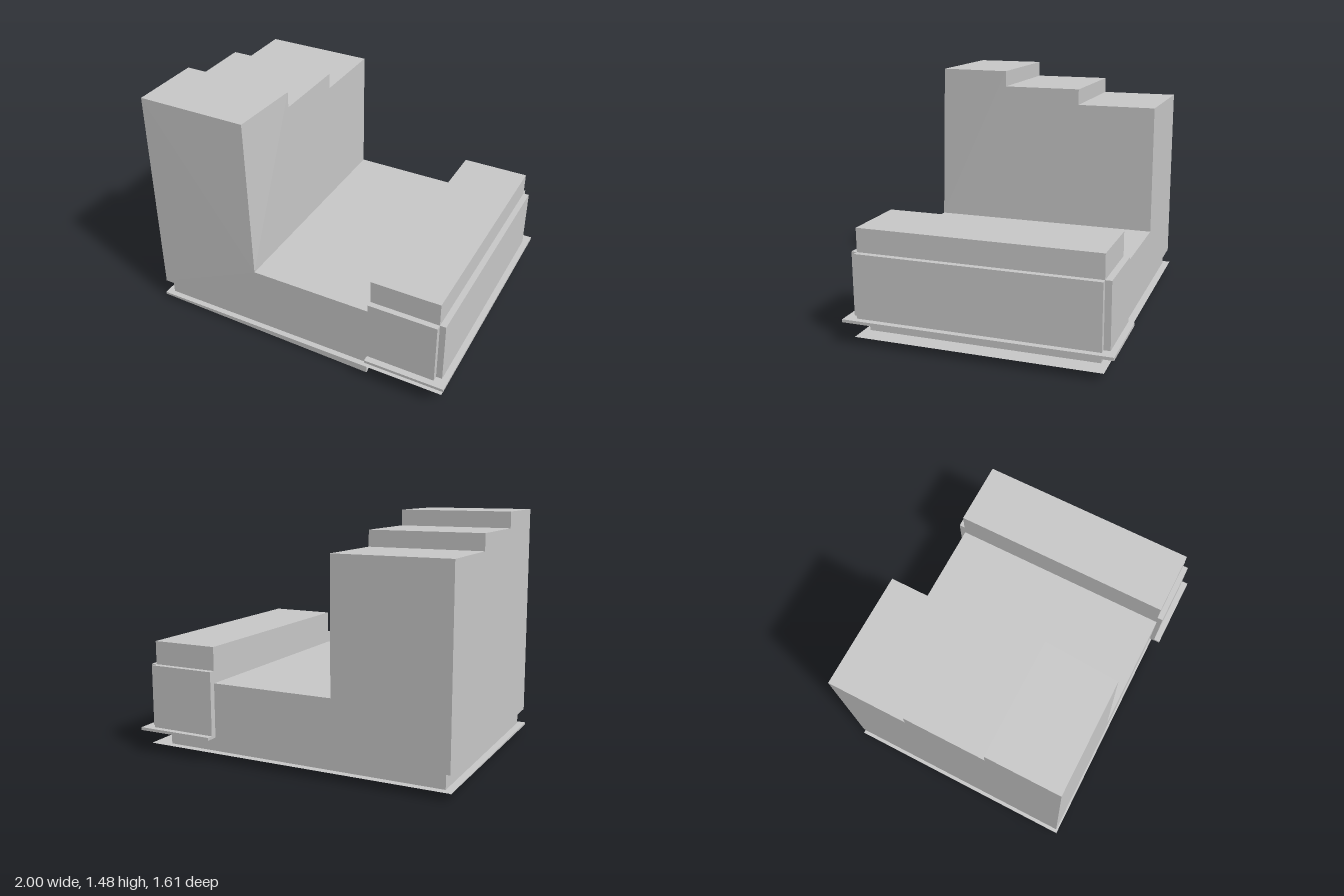
import * as THREE from 'three';

const grey = new THREE.MeshStandardMaterial({ color: 0xc8c8c8, side: THREE.DoubleSide });
grey.name = 'plain grey';

// Flat faces, each a list of corners fanned from its first corner
function faces(name, polygons) {
  const pos = [];
  for (const p of polygons)
    for (let i = 1; i < p.length - 1; i++) pos.push(...p[0], ...p[i], ...p[i + 1]);
  const g = new THREE.BufferGeometry();
  g.setAttribute('position', new THREE.Float32BufferAttribute(pos, 3));
  g.computeVertexNormals();
  const m = new THREE.Mesh(g, grey);
  m.name = name;
  return m;
}

function box(name, x0, x1, y0, y1, z0, z1) {
  const m = new THREE.Mesh(new THREE.BoxGeometry(x1 - x0, y1 - y0, z1 - z0), grey);
  m.position.set((x0 + x1) / 2, (y0 + y1) / 2, (z0 + z1) / 2);
  m.name = name;
  return m;
}

// Upward facing rectangle
const flat = (x0, x1, y, z0, z1) => [[x0, y, z1], [x1, y, z1], [x1, y, z0], [x0, y, z0]];

export function createModel() {
  const group = new THREE.Group();
  group.name = 'steppedBuilding';

  const L = -0.99, T = -0.28, A = 0.5, R = 0.925;   // left wall, tower side, annex start, annex end
  const B = -0.73, F = 0.735, low = 0.475, y0 = 0.14;

  // Stepped tower and low hall: one hollow shell, leaning slightly at the front
  const steps = [[1.48, 0.265], [1.38, 0.265], [1.38, -0.235], [1.28, -0.235], [1.28, B]];
  const tl = [L, 1.48, 0.715], tr = [-0.305, 1.48, 0.715];
  const at = (x) => steps.map(([y, z]) => [x, y, z]);
  group.add(faces('towerAndHall', [
    [[T, low, F], tr, tl, [L, y0, F], [A, y0, F], [A, low, F]],
    [[T, low, B], [A, low, B], [A, y0, B], [L, y0, B], [L, 1.28, B], [T, 1.28, B]],
    [[L, y0, F], tl, ...at(L), [L, y0, B]],
    [[T, low, F], [T, low, B], ...at(T).reverse(), tr],
    [tl, tr, [T, 1.48, 0.265], [L, 1.48, 0.265]],
    flat(L, T, 1.38, -0.235, 0.265),
    flat(L, T, 1.28, B, -0.235),
    [[L, 1.38, 0.265], [T, 1.38, 0.265], [T, 1.48, 0.265], [L, 1.48, 0.265]].reverse(),
    [[L, 1.28, -0.235], [T, 1.28, -0.235], [T, 1.38, -0.235], [L, 1.38, -0.235]].reverse(),
    flat(T, A, low, B, F),
  ]));

  // Annex shell, open below
  const top = 0.695;
  group.add(faces('annex', [
    flat(A, R, top, B, 0.73),
    [[A, y0, 0.73], [R, y0, 0.73], [R, top, 0.73], [A, top, 0.73]],
    [[R, y0, B], [A, y0, B], [A, top, B], [R, top, B]],
    [[R, y0, 0.73], [R, y0, B], [R, top, B], [R, top, 0.73]],
    [[A, low, B], [A, low, 0.73], [A, top, 0.73], [A, top, B]],
  ]));

  // Wall panels around the annex
  group.add(box('frontPanel', A, R, 0.155, 0.55, 0.73, 0.765));
  group.add(box('backPanel', A, R, 0.155, 0.55, -0.768, B));
  group.add(box('sidePanel', R, 0.962, 0.155, 0.55, B, 0.73));

  // U-shaped ledge under the annex
  const bl = -0.955, br = 0.85, bb = -0.7, bf = 0.71;
  const u = new THREE.Shape([
    [A, -0.805], [1, -0.805], [1, 0.805], [A, 0.805], [A, -bb], [br, -bb], [br, -bf], [A, -bf],
  ].map(([x, y]) => new THREE.Vector2(x, y)));
  const ledge = new THREE.Mesh(new THREE.ExtrudeGeometry(u, { depth: 0.018, bevelEnabled: false }), grey);
  ledge.rotation.x = -Math.PI / 2;
  ledge.position.y = y0;
  ledge.name = 'annexLedge';
  group.add(ledge);

  // Recessed base walls and the soffit above them
  const yb = 0.045;
  const wall = (xa, za, xb, zb) => [[xa, yb, za], [xb, yb, zb], [xb, y0, zb], [xa, y0, za]];
  const down = (...a) => flat(...a).reverse();
  group.add(faces('recessedBase', [
    wall(bl, bf, br, bf), wall(br, bf, br, bb), wall(br, bb, bl, bb), wall(bl, bb, bl, bf),
    down(L, A, y0, bf, F), down(L, A, y0, B, bb), down(L, bl, y0, bb, bf),
  ]));

  // Thin flange around the foot
  const fl = -1, fr = 0.97, fb = -0.745, ff = 0.745;
  group.add(faces('footFlange', [
    flat(fl, fr, yb, bf, ff), flat(fl, fr, yb, fb, bb),
    flat(fl, bl, yb, bb, bf), flat(br, fr, yb, bb, bf),
  ]));

  // Sloping skirt below the flange at the front and right side
  group.add(faces('slopingSkirt', [
    [[fl, 0.03, ff], [0.49, 0, ff], [0.49, yb, ff], [fl, yb, ff]],
    [[fl, yb - 0.003, fb], [fl, 0.03, ff], [fl, yb, ff], [fl, yb, fb]],
    [[fl, 0.03, ff], [fl, 0.03, bf], [0.49, 0.025, bf], [0.49, 0, ff]],
    [[fl, yb - 0.003, fb], [bl, yb - 0.003, bb], [bl, 0.03, bf], [fl, 0.03, ff]],
  ]));

  return group;
}
